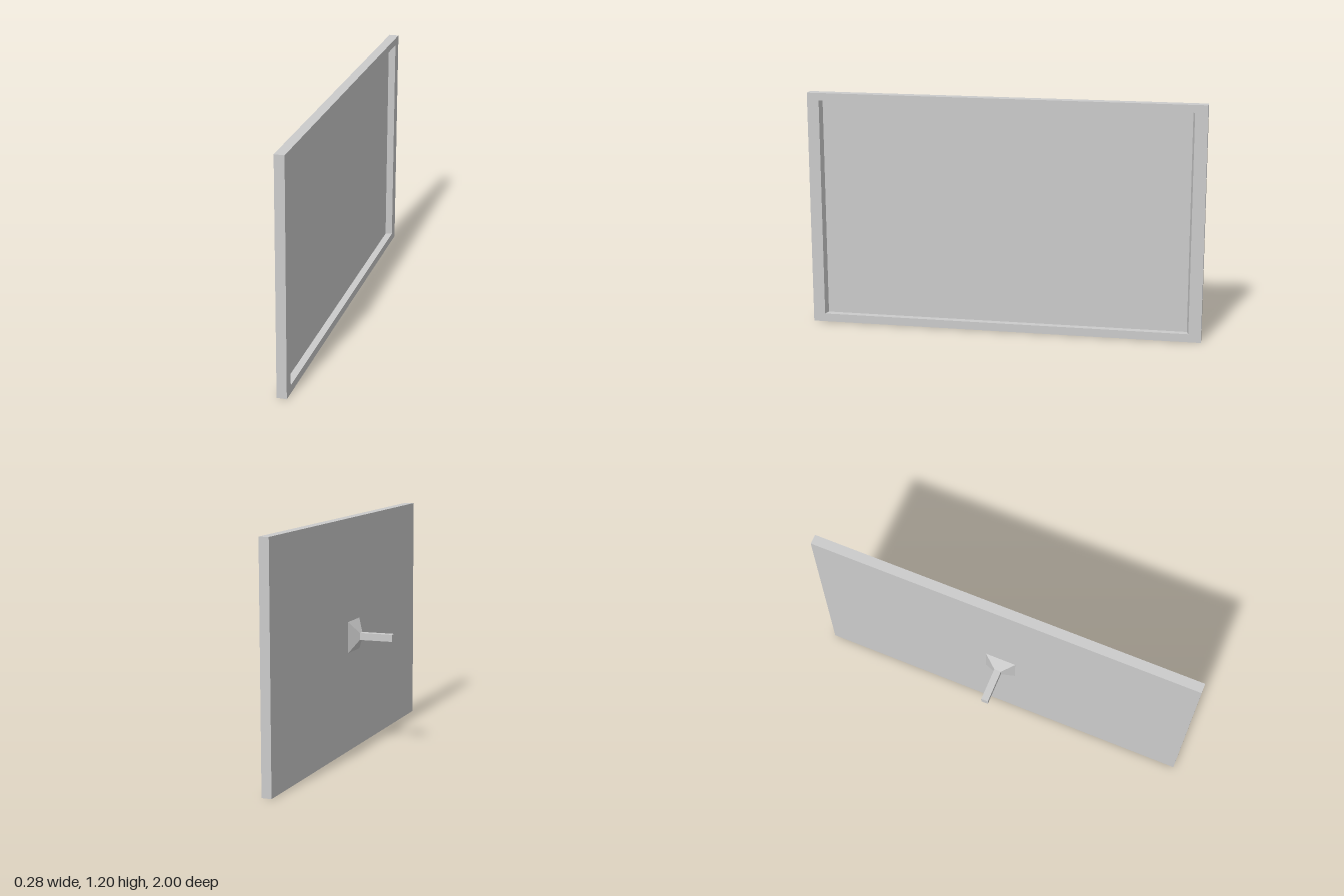
import * as THREE from 'three';

const material = new THREE.MeshStandardMaterial({ color: 0xcccccc, flatShading: true });

function makeMesh(name, triangles) {
  const geometry = new THREE.BufferGeometry();
  geometry.setAttribute('position', new THREE.Float32BufferAttribute(triangles.flat(), 3));
  geometry.computeVertexNormals();
  const mesh = new THREE.Mesh(geometry, material);
  mesh.name = name;
  return mesh;
}

// Skins a series of rectangles [x, y0, y1, z0, z1] and caps both ends.
function loft(name, sections) {
  const loops = sections.map(([x, y0, y1, z0, z1]) =>
    [[x, y0, z0], [x, y1, z0], [x, y1, z1], [x, y0, z1]]);
  const triangles = [];
  const quad = (a, b, c, d) => triangles.push(a, b, c, a, c, d);
  for (let k = 0; k < loops.length - 1; k++) {
    const a = loops[k], b = loops[k + 1];
    for (let i = 0; i < 4; i++) {
      const j = (i + 1) % 4;
      quad(a[i], a[j], b[j], b[i]);
    }
  }
  quad(...[...loops[0]].reverse());
  quad(...loops[loops.length - 1]);
  return makeMesh(name, triangles);
}

export function createModel() {
  const group = new THREE.Group();
  group.name = 'wallScreen';

  // Panel: back, outer rim, inner rim, then the recessed screen
  group.add(loft('screenPanel', [
    [0.09, 0, 1.2, -1, 1],
    [0.14, 0, 1.2, -1, 1],
    [0.14, 0.042, 1.162, -0.937, 0.94],
    [0.105, 0.042, 1.157, -0.927, 0.93],
  ]));

  // Sloped fillets in two opposite corners of the recess
  const floor = 0.105, rim = 0.138;
  group.add(makeMesh('upperCornerFillet', [
    [rim, 1.162, -0.937], [floor, 1.125, -0.935], [floor, 1.16, -0.88],
  ]));
  group.add(makeMesh('lowerCornerFillet', [
    [rim, 0.042, 0.94], [floor, 0.08, 0.938], [floor, 0.042, 0.88],
  ]));

  // Wall bracket: square arm flaring into a mounting foot
  group.add(loft('bracketArm', [
    [-0.143, 0.583, 0.619, -0.018, 0.018],
    [0.03, 0.583, 0.619, -0.018, 0.018],
  ]));
  group.add(loft('bracketFoot', [
    [0.03, 0.583, 0.619, -0.018, 0.018],
    [0.07, 0.522, 0.682, -0.08, 0.08],
  ]));

  return group;
}
